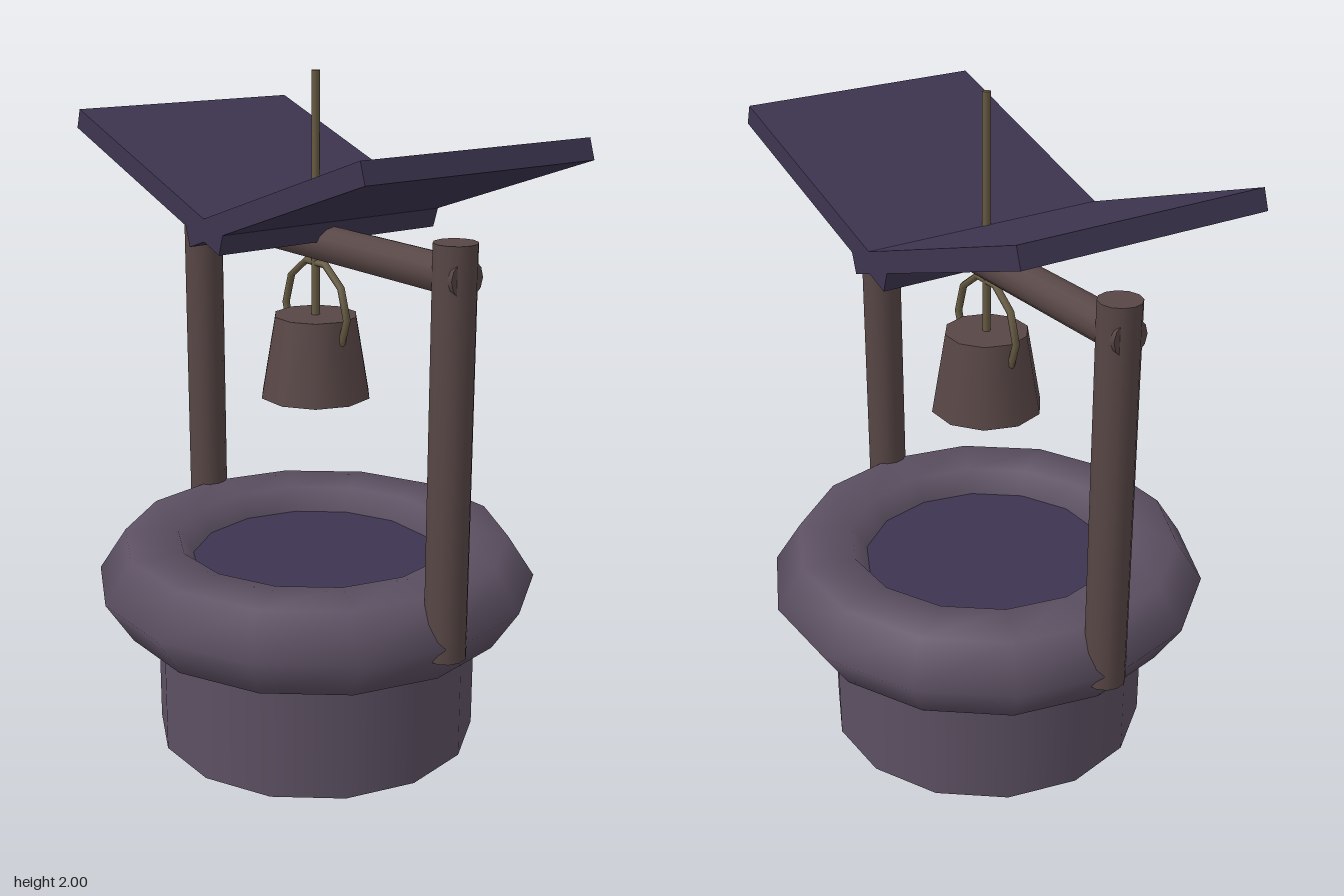
import * as THREE from 'three';

const paint = (name, color) => {
  const m = new THREE.MeshStandardMaterial({ color });
  m.name = name;
  return m;
};

export function createModel() {
  const stone = paint('stone', 0x5c5062);
  const slate = paint('slate', 0x3d3550);
  const wood = paint('wood', 0x574645);
  const rope = paint('rope', 0x665a42);

  const well = new THREE.Group();
  well.name = 'well';
  const add = (name, geometry, material, x, y, z = 0) => {
    const mesh = new THREE.Mesh(geometry, material);
    mesh.name = name;
    mesh.position.set(x, y, z);
    well.add(mesh);
    return mesh;
  };
  // Cylinder whose first corner lies on the x axis
  const drum = (top, bottom, height, sides) =>
    new THREE.CylinderGeometry(top, bottom, height, sides).rotateY(Math.PI / 2);

  // Stone base, thick six-sided rim and the water inside it
  add('base', drum(0.487, 0.487, 0.46, 14), stone, 0, 0.23);
  const rimShape = new THREE.TorusGeometry(0.5, 0.162, 6, 14).rotateX(Math.PI / 2).scale(1, 0.89, 1);
  add('rim', rimShape, stone, 0, 0.5);
  add('water', drum(0.385, 0.385, 0.1, 14), slate, 0, 0.505);

  // Two posts and the crossbar between them
  for (const side of [-1, 1]) {
    add(side > 0 ? 'leftPost' : 'rightPost', drum(0.06, 0.06, 1.155, 12), wood, side * 0.607, 1.0325);
  }
  add('crossbar', drum(0.053, 0.053, 1.31, 12).rotateZ(Math.PI / 2), wood, 0, 1.522);

  // Two roof slabs crossing in a valley
  for (const side of [-1, 1]) {
    const slab = add(side > 0 ? 'leftRoofSlab' : 'rightRoofSlab',
      new THREE.BoxGeometry(0.831, 0.06, 0.75), slate, side * 0.309, 1.695);
    slab.rotation.z = side * 0.326;
  }

  // Rope, bucket and ring handle
  add('rope', drum(0.012, 0.012, 0.72, 6), rope, 0, 1.64);
  add('bucket', drum(0.123, 0.165, 0.24, 10), wood, 0, 1.185);
  add('handle', new THREE.TorusGeometry(0.15, 0.011, 6, 10), rope, 0, 1.315);

  return well;
}
